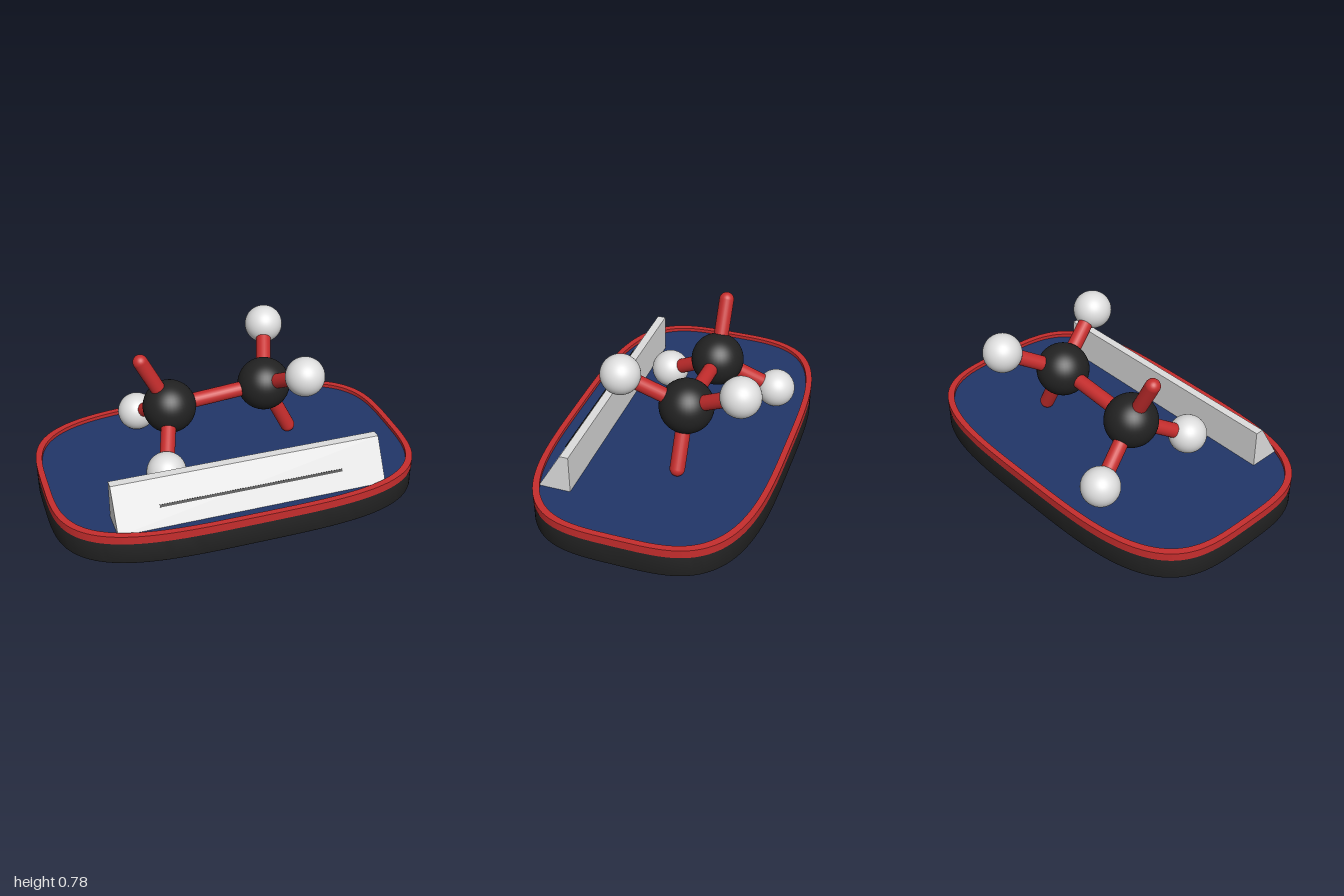
import * as THREE from 'three';
import { toCreasedNormals } from 'three/addons/utils/BufferGeometryUtils.js';

const material = (name, color) => new THREE.MeshStandardMaterial({ name, color });

export function createModel() {
  const black = material('charcoal', 0x222222);
  const red = material('red', 0xc62d2d);
  const blue = material('navy', 0x213669);
  const white = material('pale grey', 0xdedede);
  const ink = material('slot black', 0x0c0c0c);
  const model = new THREE.Group();
  model.name = 'moleculeOnBase';

  const add = (name, geometry, mat, x = 0, y = 0, z = 0) => {
    const mesh = new THREE.Mesh(geometry, mat);
    mesh.name = name;
    mesh.position.set(x, y, z);
    model.add(mesh);
    return mesh;
  };

  // Rounded-rectangle outline, as a superellipse
  const outline = (inset) => {
    const points = [];
    for (let i = 0; i < 128; i++) {
      const a = (i / 128) * Math.PI * 2;
      const c = Math.cos(a), s = Math.sin(a);
      points.push(new THREE.Vector2(
        Math.sign(c) * Math.abs(c) ** 0.56 * (1 - inset),
        Math.sign(s) * Math.abs(s) ** 0.56 * (0.615 - inset)));
    }
    return points;
  };
  const slab = (shape, depth, options = {}) => {
    const g = new THREE.ExtrudeGeometry(shape, { depth, bevelEnabled: false, ...options });
    g.rotateX(-Math.PI / 2);
    return toCreasedNormals(g, 0.6);
  };

  // Base, red rim and recessed blue floor
  add('base', slab(new THREE.Shape(outline(0.012)), 0.113, {
    bevelEnabled: true, bevelSize: 0.012, bevelThickness: 0.012, bevelSegments: 3,
  }), black, 0, 0.012, 0);
  const rimShape = new THREE.Shape(outline(0));
  rimShape.holes.push(new THREE.Path(outline(0.032)));
  add('rim', slab(rimShape, 0.045), red, 0, 0.125, 0);
  add('floor', slab(new THREE.Shape(outline(0.02)), 0.02), blue, 0, 0.13, 0);

  // Sloping name panel with a thin slot line
  const profile = new THREE.Shape([[0.35, 0.15], [0.522, 0.15], [0.395, 0.363], [0.35, 0.363]]
    .map(([z, y]) => new THREE.Vector2(-z, y)));
  const panel = new THREE.ExtrudeGeometry(profile, { depth: 1.44, bevelEnabled: false });
  panel.translate(0, 0, -0.72).rotateY(Math.PI / 2);
  // The profile axis now runs along +z
  add('panel', panel, white);
  const line = add('slotLine', new THREE.BoxGeometry(0.98, 0.014, 0.008), ink, 0, 0.243, 0.468);
  line.rotation.x = -Math.atan2(0.127, 0.213);

  // Atoms and bonds
  const v = (x, y, z) => new THREE.Vector3(x, y, z);
  const atom = (name, p, r, mat) => add(name, new THREE.SphereGeometry(r, 40, 28), mat, p.x, p.y, p.z);
  const bond = (name, a, b) => {
    const dir = b.clone().sub(a);
    const mid = a.clone().add(b).multiplyScalar(0.5);
    const mesh = add(name, new THREE.CapsuleGeometry(0.04, dir.length(), 8, 24), red, mid.x, mid.y, mid.z);
    mesh.quaternion.setFromUnitVectors(v(0, 1, 0), dir.normalize());
  };

  const leftCarbon = v(0.265, 0.482, -0.115), rightCarbon = v(-0.27, 0.44, -0.115);
  bond('centralBond', leftCarbon, rightCarbon);
  for (const [side, carbon, s] of [['left', leftCarbon, 1], ['right', rightCarbon, -1]]) {
    atom(side + 'Carbon', carbon, 0.143, black);
    // Bare bond opposite the pair of small atoms
    bond(side + 'OpenBond', carbon, carbon.clone().add(v(0.148 * s, -0.295 * s, 0)));
    for (const [end, dz] of [['Front', 0.312], ['Back', -0.312]]) {
      const h = carbon.clone().add(v(0.109 * s, 0.194 * s, dz));
      bond(side + end + 'Bond', carbon, h);
      atom(side + end + 'Hydrogen', h, 0.104, white);
    }
  }
  return model;
}
